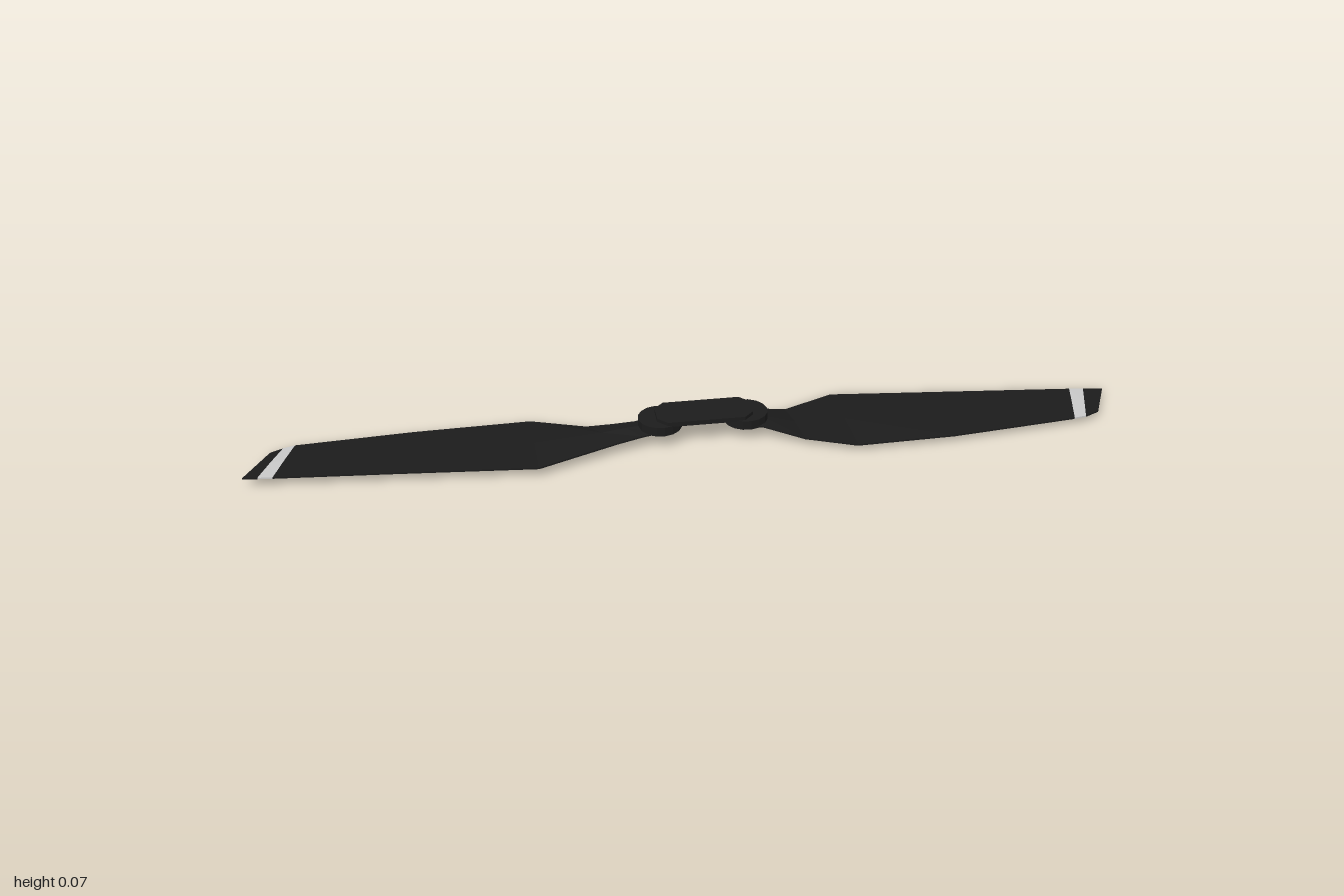
import * as THREE from 'three';

const dark = new THREE.MeshStandardMaterial({ color: 0x1c1c1c, flatShading: true });
const light = new THREE.MeshStandardMaterial({ color: 0xcccccc, flatShading: true });

// Six-point blade section between two edge points [x, y, z]; t is the half thickness at the middle
function section([a, b, t]) {
  const e = Math.min(t, 0.002);
  const mid = a.map((v, k) => v * 0.5 + b[k] * 0.5);
  const up = (p, d) => [p[0], p[1] + d, p[2]];
  return [up(a, e), up(mid, t), up(b, e), up(b, -e), up(mid, -t), up(a, -e)];
}

// Skin joining a run of sections, optionally closed at either end
function loft(stations, capStart, capEnd) {
  const rings = stations.map(section);
  const n = 6, last = (rings.length - 1) * n, index = [];
  for (let i = 0; i < rings.length - 1; i++) {
    for (let j = 0; j < n; j++) {
      const k = (j + 1) % n, a = i * n + j, b = i * n + k;
      index.push(a, b, b + n, a, b + n, a + n);
    }
  }
  for (let j = 1; j < n - 1; j++) {
    if (capStart) index.push(0, j + 1, j);
    if (capEnd) index.push(last, last + j, last + j + 1);
  }
  const g = new THREE.BufferGeometry();
  g.setAttribute('position', new THREE.Float32BufferAttribute(rings.flat(2), 3));
  g.setIndex(index);
  g.computeVertexNormals();
  return g;
}

function add(parent, name, geometry, material = dark) {
  const mesh = new THREE.Mesh(geometry, material);
  mesh.name = name;
  parent.add(mesh);
  return mesh;
}

// Blade with a pale band near its tip: the last three stations bound the band and the tip
function blade(name, stations) {
  const group = new THREE.Group();
  group.name = name;
  const n = stations.length;
  add(group, 'bladeBody', loft(stations.slice(0, n - 2), true, false));
  add(group, 'tipStripe', loft(stations.slice(n - 3, n - 1), false, false), light);
  add(group, 'bladeTip', loft(stations.slice(n - 2), false, true));
  return group;
}

export function createModel() {
  const model = new THREE.Group();
  model.name = 'foldingPropeller';

  // Blades, listed root to tip: left edge, right edge (facing outward), half thickness
  model.add(blade('backBlade', [
    [[0.025, 0.045, -0.10], [0.10, 0.045, -0.09], 0.006],
    [[0.035, 0.036, -0.18], [0.12, 0.041, -0.135], 0.008],
    [[0.042, 0.005, -0.27], [0.20, 0.020, -0.205], 0.007],
    [[0.05, 0.002, -0.415], [0.30, 0.019, -0.29], 0.005],
    [[0.176, 0.002, -0.60], [0.41, 0.019, -0.51], 0.004],
    [[0.40, 0.002, -0.93], [0.53, 0.019, -0.81], 0.003],
    [[0.42, 0.002, -0.96], [0.54, 0.019, -0.84], 0.003],
    [[0.45, 0.002, -1.0], [0.54, 0.018, -0.885], 0.002],
  ]));
  model.add(blade('frontBlade', [
    [[-0.005, 0.045, 0.06], [-0.075, 0.045, 0.04], 0.006],
    [[-0.01, 0.041, 0.09], [-0.093, 0.038, 0.10], 0.008],
    [[-0.025, 0.037, 0.13], [-0.13, 0.028, 0.145], 0.009],
    [[-0.04, 0.033, 0.19], [-0.18, 0.013, 0.19], 0.008],
    [[-0.07, 0.026, 0.40], [-0.29, 0.010, 0.285], 0.005],
    [[-0.26, 0.026, 0.69], [-0.42, 0.010, 0.545], 0.004],
    [[-0.415, 0.026, 0.93], [-0.54, 0.010, 0.81], 0.003],
    [[-0.435, 0.026, 0.96], [-0.545, 0.010, 0.84], 0.003],
    [[-0.455, 0.026, 0.99], [-0.545, 0.010, 0.875], 0.002],
  ]));

  // Pivot discs at the blade roots
  for (const [name, x, z] of [['frontPivot', -0.042, 0.062], ['backPivot', 0.06, -0.127]]) {
    const disc = add(model, name, new THREE.CylinderGeometry(0.055, 0.055, 0.024, 16));
    disc.position.set(x, 0.051, z);
  }

  // Chamfered plate bridging the two pivots
  const outline = [[0.12, 0.025], [0.096, 0.05], [-0.096, 0.05], [-0.12, 0.025],
    [-0.12, -0.025], [-0.096, -0.05], [0.096, -0.05], [0.12, -0.025]];
  const shape = new THREE.Shape(outline.map(([x, y]) => new THREE.Vector2(x, y)));
  const plate = new THREE.ExtrudeGeometry(shape, { depth: 0.012, bevelEnabled: false });
  plate.rotateX(-Math.PI / 2).rotateY(1.08).translate(0.008, 0.06, -0.036);
  add(model, 'hubPlate', plate);

  return model;
}
